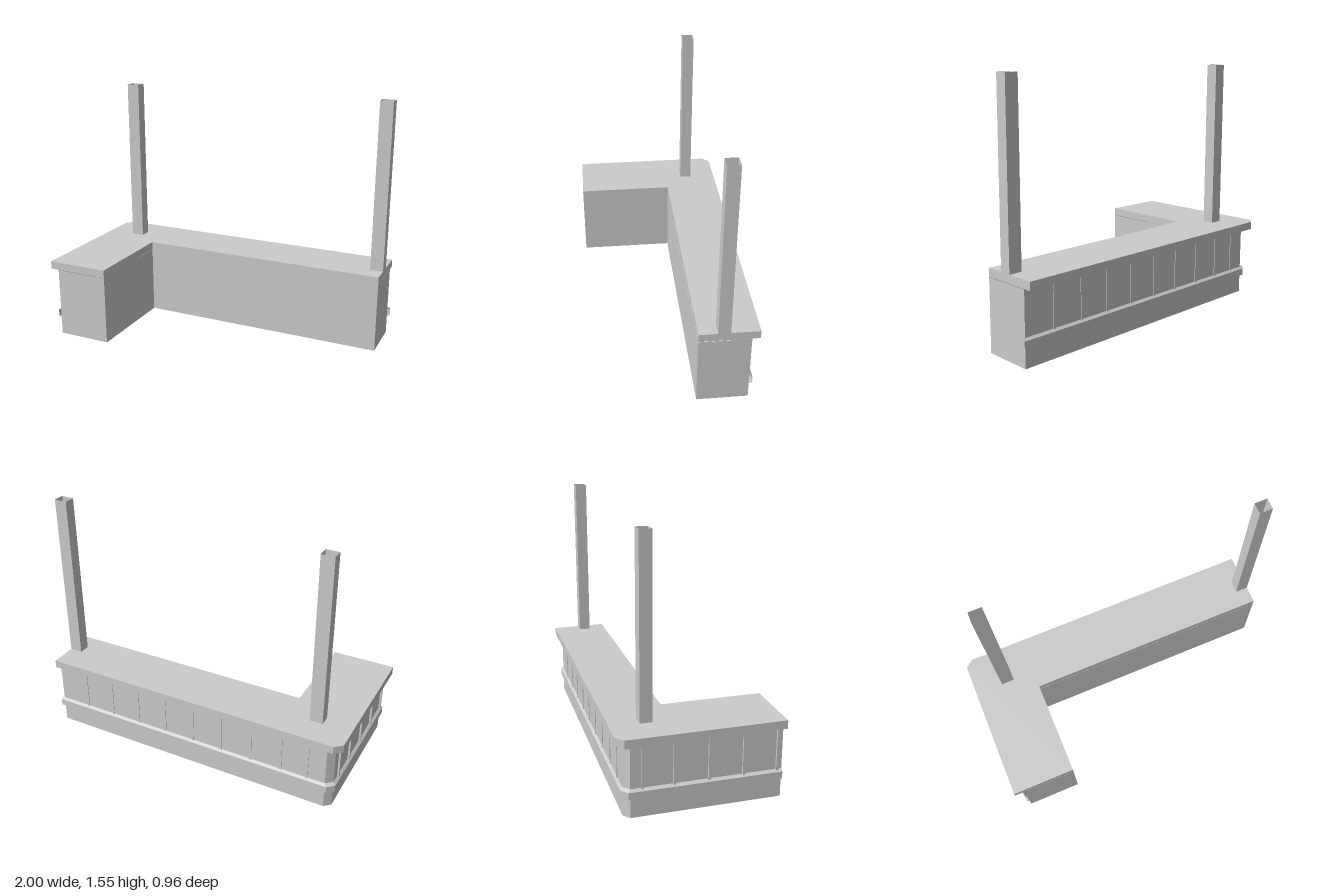
import * as THREE from 'three';

const material = new THREE.MeshStandardMaterial({ color: 0xcccccc, flatShading: true, side: THREE.DoubleSide });

// outer edge of the counter on plan [x, z], pushed outwards by d, with a clipped corner
const outerEdge = (d, xEnd = 0.985) => {
  const x = -0.945 - d * 1.15, z = -0.432 - d, c = 0.035 + d * 0.15;
  return [[x, 0.48], [x, z + c], [x + c + 0.005, z], [xEnd, z]];
};
const innerEdge = [[0.985, -0.128], [-0.6, -0.128], [-0.6, 0.48]];

// skins a list of equally long rows of [x, y, z] points
function skin(rows) {
  const pos = [];
  for (let r = 0; r < rows.length - 1; r++) {
    for (let i = 0; i < rows[r].length - 1; i++) {
      const a = rows[r][i], b = rows[r][i + 1], c = rows[r + 1][i + 1], d = rows[r + 1][i];
      pos.push(...a, ...c, ...b, ...a, ...d, ...c);
    }
  }
  const geo = new THREE.BufferGeometry();
  geo.setAttribute('position', new THREE.Float32BufferAttribute(pos, 3));
  geo.computeVertexNormals();
  return geo;
}
const lift = (plan, y) => plan.map(([x, z]) => [x, y, z]);

export function createModel() {
  const model = new THREE.Group();
  const add = (name, geo, x = 0, y = 0, z = 0, parent = model) => {
    const mesh = new THREE.Mesh(geo, material);
    mesh.name = name;
    mesh.position.set(x, y, z);
    parent.add(mesh);
    return mesh;
  };

  // hollow L-shaped body, open underneath
  const outer = outerEdge(0);
  const loop = [...outer, ...innerEdge, outer[0]];
  add('counterWalls', skin([lift(loop, 0), lift(loop, 0.44)]));

  // worktop overhanging the outer sides
  const topPlan = [...outerEdge(0.048), ...innerEdge];
  const shape = new THREE.Shape(topPlan.map(([x, z]) => new THREE.Vector2(x, -z)));
  const topGeo = new THREE.ExtrudeGeometry(shape, { depth: 0.05, bevelEnabled: false });
  topGeo.rotateX(-Math.PI / 2);
  add('worktop', topGeo, 0, 0.442, 0);

  // bevelled rail round the outer sides
  const railProfile = [[0, 0.115], [0.015, 0.118], [0.015, 0.162], [0, 0.175]];
  add('rail', skin(railProfile.map(([d, y]) => lift(outerEdge(d, 1), y))));

  // upright battens between the panels
  const battens = new THREE.Group();
  battens.name = 'battens';
  model.add(battens);
  const battenHeight = 0.27, battenY = 0.307;
  const backBatten = new THREE.BoxGeometry(0.014, battenHeight, 0.008);
  for (let i = 0; i < 9; i++) add('backBatten', backBatten, 0.78 - i * 0.2 + (i === 8 ? 0.03 : 0), battenY, -0.432, battens);
  const sideBatten = new THREE.BoxGeometry(0.024, battenHeight, 0.014);
  for (const z of [-0.33, -0.15, 0.05, 0.25, 0.45]) add('sideBatten', sideBatten, -0.945, battenY, z, battens);

  // hollow square posts
  const w = 0.041, d = 0.036;
  const square = [[-w, -d], [w, -d], [w, d], [-w, d], [-w, -d]];
  const postGeo = skin([lift(square, 0.492), lift(square, 1.55)]);
  add('rightPost', postGeo, -0.781, 0, -0.274);
  add('leftPost', postGeo, 0.944, 0, -0.274);

  return model;
}
